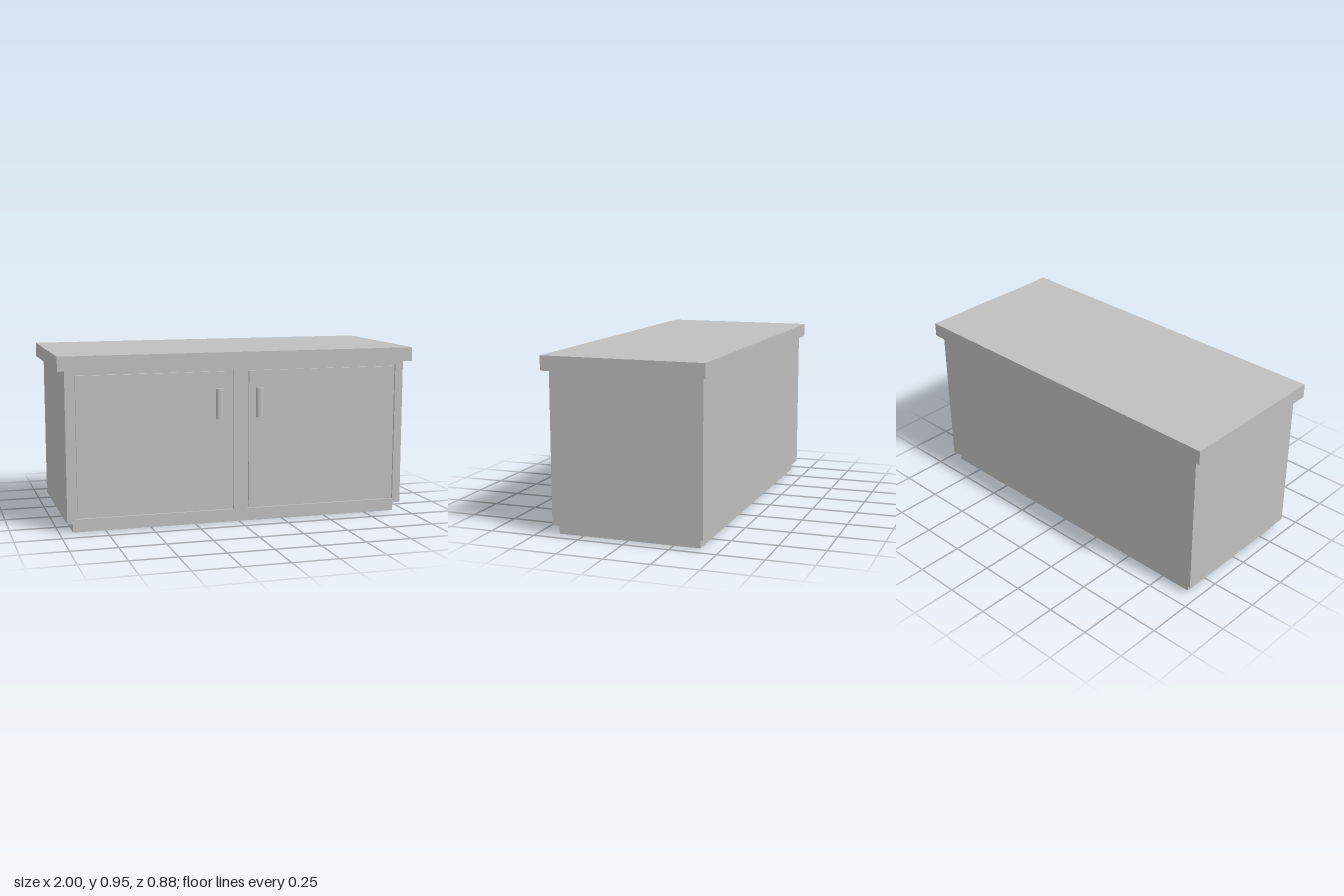
import * as THREE from 'three';

export function createModel() {
  const model = new THREE.Group();
  model.name = 'cabinet';
  const grey = new THREE.MeshStandardMaterial({ color: 0xbfbfbf });
  grey.name = 'light grey';

  function add(name, geometry, parent = model) {
    const mesh = new THREE.Mesh(geometry, grey);
    mesh.name = name;
    parent.add(mesh);
    return mesh;
  }

  // Box given by its lower and upper limits on each axis
  function block(name, [x0, x1], [y0, y1], [z0, z1], parent) {
    const mesh = add(name, new THREE.BoxGeometry(x1 - x0, y1 - y0, z1 - z0), parent);
    mesh.position.set((x0 + x1) / 2, (y0 + y1) / 2, (z0 + z1) / 2);
    return mesh;
  }

  function rectangle(path, x0, x1, y0, y1) {
    path.moveTo(x0, y0);
    path.lineTo(x1, y0);
    path.lineTo(x1, y1);
    path.lineTo(x0, y1);
    path.closePath();
    return path;
  }

  const front = 0.412, back = -0.417, groove = 0.01, depth = 0.012;
  const bottom = 0.052, top = 0.87;
  const doorX = [0.038, 0.914], doorY = [0.076, 0.852];

  block('plinth', [-0.927, 0.927], [0, bottom], [-0.392, 0.387]);
  block('carcass', [-0.96, 0.96], [bottom, top], [back, front - depth]);
  block('countertop', [-1, 1], [top, 0.948], [-0.442, 0.442]);

  // Face frame with one opening per door
  const frame = rectangle(new THREE.Shape(), -0.96, 0.96, bottom, top);
  for (const s of [-1, 1]) {
    frame.holes.push(rectangle(new THREE.Path(),
      Math.min(s * doorX[0], s * doorX[1]), Math.max(s * doorX[0], s * doorX[1]), ...doorY));
  }
  add('faceFrame', new THREE.ExtrudeGeometry(frame, { depth, bevelEnabled: false }))
    .position.z = front - depth;

  // Half-round handle profile, extruded along its height
  const profile = new THREE.Shape();
  profile.moveTo(-0.019, 0);
  profile.lineTo(0.019, 0);
  profile.lineTo(0.019, -0.008);
  profile.absellipse(0, -0.008, 0.019, 0.014, 0, Math.PI, true);
  profile.closePath();
  const handleGeometry = new THREE.ExtrudeGeometry(profile,
    { depth: 0.164, bevelEnabled: false, curveSegments: 8 });
  handleGeometry.rotateX(-Math.PI / 2);

  // Flush doors set inside a narrow shadow gap
  for (const [side, s] of [['left', 1], ['right', -1]]) {
    const door = new THREE.Group();
    door.name = side + 'Door';
    model.add(door);
    const xs = [s * (doorX[0] + groove), s * (doorX[1] - groove)].sort((a, b) => a - b);
    block(side + 'DoorPanel', xs, [doorY[0] + groove, doorY[1] - groove],
      [front - depth, front], door);
    add(side + 'Handle', handleGeometry, door).position.set(s > 0 ? 0.107 : -0.121, 0.585, front);
  }
  return model;
}
